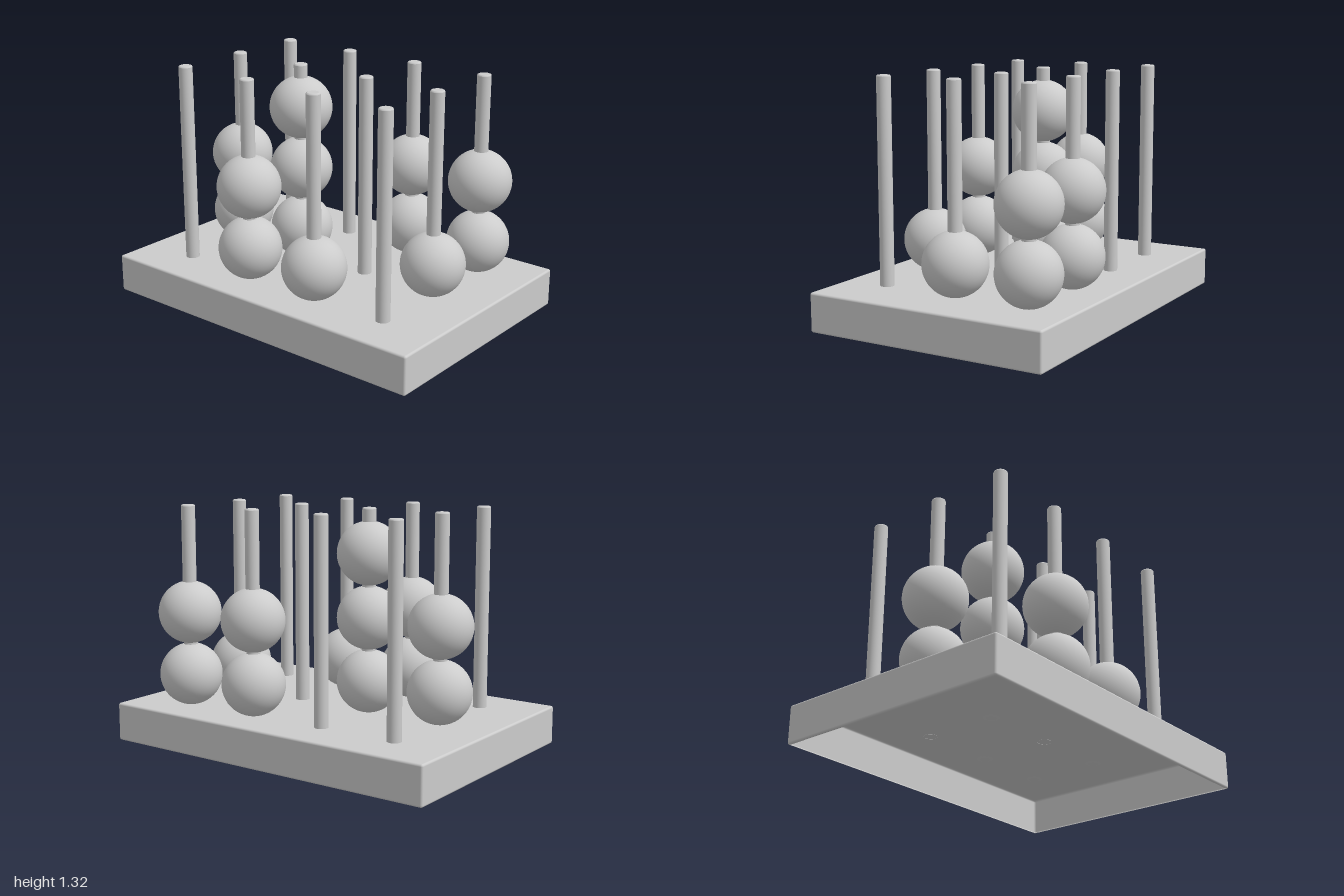
import * as THREE from 'three';
import { RoundedBoxGeometry } from 'three/addons/geometries/RoundedBoxGeometry.js';

const BASE_H = 0.213, BASE_D = 1.37;
const ROD_R = 0.038, ROD_TOP = 1.32;
const BEAD_R = 0.173, BEAD_Y = 0.38, BEAD_STEP = 0.348;

const XS = [-0.676, -0.226, 0.225, 0.675];
const ZS = [-0.43, 0, 0.43];
// beads on each rod: rows from back to front, columns along +x
const BEADS = [
  [0, 0, 2, 2],
  [2, 3, 0, 1],
  [0, 2, 1, 0],
];

// Thin tray with softened edges, open underneath
function trayGeometry() {
  const geo = new RoundedBoxGeometry(2, BASE_H, BASE_D, 3, 0.012);
  const pos = geo.attributes.position, nor = geo.attributes.normal;
  const points = [], normals = [];
  for (let i = 0; i < pos.count; i += 3) {
    const tri = [i, i + 1, i + 2];
    // skip the flat underside
    if (tri.every(k => pos.getY(k) < -BASE_H / 2 + 1e-4)) continue;
    for (const k of tri) {
      points.push(pos.getX(k), pos.getY(k) + BASE_H / 2, pos.getZ(k));
      normals.push(nor.getX(k), nor.getY(k), nor.getZ(k));
    }
  }
  const tray = new THREE.BufferGeometry();
  tray.setAttribute('position', new THREE.Float32BufferAttribute(points, 3));
  tray.setAttribute('normal', new THREE.Float32BufferAttribute(normals, 3));
  return tray;
}

// Round rod with a small rounded rim at the top
function rodGeometry() {
  const b = 0.008, v = (x, y) => new THREE.Vector2(x, y);
  const y0 = BASE_H - 0.001;
  return new THREE.LatheGeometry([
    v(ROD_R, y0), v(ROD_R, ROD_TOP - b), v(ROD_R, ROD_TOP - b),
    v(ROD_R - b * 0.3, ROD_TOP - b * 0.3), v(ROD_R - b, ROD_TOP),
    v(ROD_R - b, ROD_TOP), v(0, ROD_TOP),
  ], 32);
}

export function createModel() {
  const model = new THREE.Group();
  model.name = 'beadCounter';
  const grey = new THREE.MeshStandardMaterial({ color: 0xcccccc });
  const greyOpen = new THREE.MeshStandardMaterial({ color: 0xcccccc, side: THREE.DoubleSide });

  const add = (parent, name, geo, mat, x, y, z) => {
    const mesh = new THREE.Mesh(geo, mat);
    mesh.name = name;
    mesh.position.set(x, y, z);
    parent.add(mesh);
  };

  add(model, 'base', trayGeometry(), greyOpen, 0, 0, 0);

  // Rods with their stacked beads
  const rod = rodGeometry();
  const bead = new THREE.SphereGeometry(BEAD_R, 48, 32);
  ZS.forEach((z, row) => XS.forEach((x, col) => {
    const peg = new THREE.Group();
    peg.name = `peg${row + 1}${col + 1}`;
    peg.position.set(x, 0, z);
    add(peg, 'rod', rod, greyOpen, 0, 0, 0);
    for (let i = 0; i < BEADS[row][col]; i++) {
      add(peg, 'bead', bead, grey, 0, BEAD_Y + i * BEAD_STEP, 0);
    }
    model.add(peg);
  }));
  return model;
}
